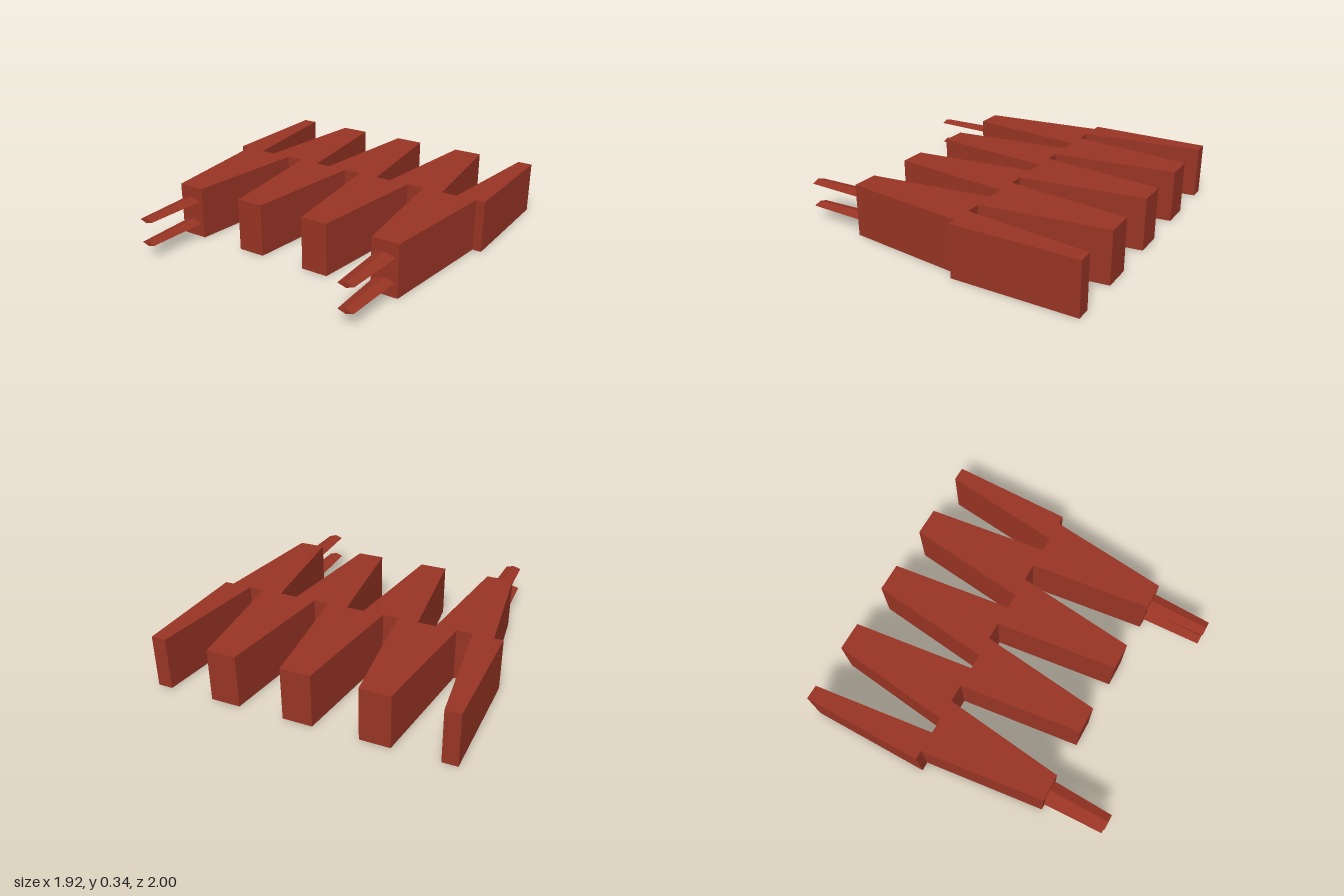
import * as THREE from 'three';

const HEIGHT = 0.34;
const WAIST_Z = -0.2; // line where the back and front teeth meet

// Toothed outline in plan: x and z
function bodyOutline() {
  const pts = [];
  // Back edge, left to right: half tooth, three full teeth, half tooth
  pts.push([-0.96, WAIST_Z], [-0.96, -1], [-0.865, -1], [-0.77, WAIST_Z]);
  for (const c of [-0.48, 0, 0.48]) {
    pts.push([c - 0.19, WAIST_Z], [c - 0.095, -1], [c + 0.095, -1], [c + 0.19, WAIST_Z]);
  }
  pts.push([0.77, WAIST_Z], [0.865, -1], [0.96, -1], [0.96, WAIST_Z]);
  // Front edge, right to left: four full teeth
  for (const c of [0.72, 0.24, -0.24, -0.72]) {
    pts.push([c + 0.182, WAIST_Z], [c + 0.088, 0.6], [c - 0.088, 0.6], [c - 0.182, WAIST_Z]);
  }
  return pts;
}

export function createModel() {
  const model = new THREE.Group();
  model.name = 'toothedBlock';
  const brickRed = new THREE.MeshStandardMaterial({ color: 0x983424, flatShading: true });
  brickRed.name = 'brickRed';

  // Solid body, extruded upward from the ground
  const shape = new THREE.Shape(bodyOutline().map(([x, z]) => new THREE.Vector2(x, -z)));
  const bodyGeo = new THREE.ExtrudeGeometry(shape, { depth: HEIGHT, bevelEnabled: false });
  bodyGeo.rotateX(-Math.PI / 2);
  const body = new THREE.Mesh(bodyGeo, brickRed);
  body.name = 'body';
  model.add(body);

  // Tapered, diamond-section prongs on the two outer front teeth
  const prongGeo = new THREE.CylinderGeometry(0.051, 0.066, 0.4, 4);
  prongGeo.rotateX(Math.PI / 2);
  prongGeo.scale(1, 0.32, 1);
  for (const [side, x] of [['left', 0.72], ['right', -0.72]]) {
    for (const [level, y] of [['Lower', 0.093], ['Upper', 0.248]]) {
      const prong = new THREE.Mesh(prongGeo, brickRed);
      prong.name = `${side}${level}Prong`;
      prong.position.set(x, y, 0.8);
      model.add(prong);
    }
  }
  return model;
}
